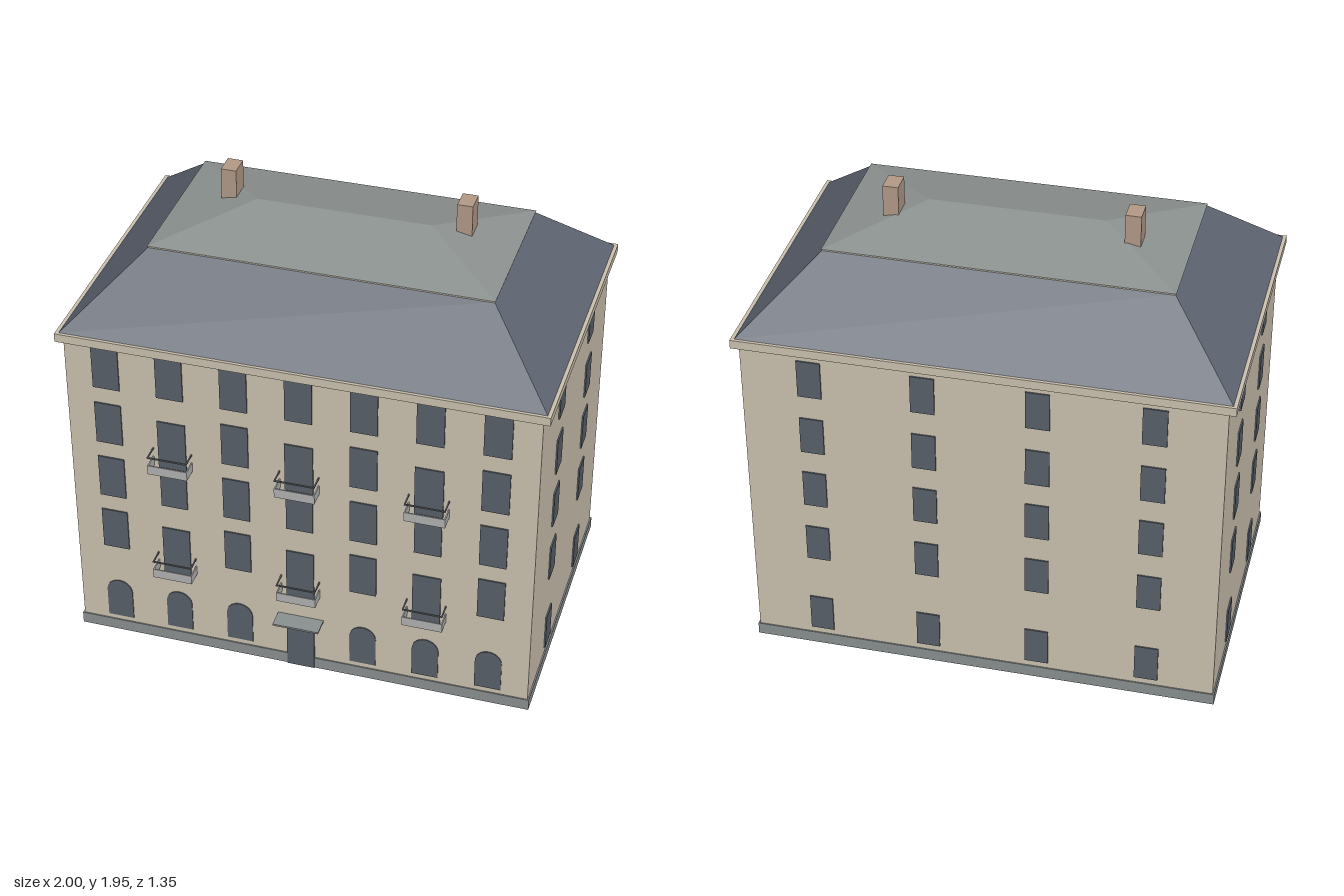
import * as THREE from 'three';

const mat = (name, color) => {
  const m = new THREE.MeshStandardMaterial({ color });
  m.name = name;
  return m;
};

export function createModel() {
  const root = new THREE.Group();
  root.name = 'townhouse';

  const plaster = mat('plaster', 0xcbc1af);
  plaster.side = THREE.DoubleSide;
  const stone = mat('plinth stone', 0x8a9090);
  const slate = mat('slate', 0x5f6672);
  const upperSlate = mat('upper roof', 0x8c9290);
  const glass = mat('glass', 0x586069);
  const brick = mat('chimney brick', 0xb39a87);
  const concrete = mat('balcony', 0xb2b2b2);
  const iron = mat('railing iron', 0x62666a);

  // The house body is set slightly back so balconies fit in the depth
  const CZ = -0.03, HX = 0.97, HZ = 0.625;
  const FRONT = CZ + HZ;

  function add(geo, material, name, x = 0, y = 0, z = 0, parent = root) {
    const mesh = new THREE.Mesh(geo, material);
    mesh.name = name;
    mesh.position.set(x, y, z);
    parent.add(mesh);
    return mesh;
  }
  const box = (w, h, d) => new THREE.BoxGeometry(w, h, d);

  // Four flat sides between two rectangles given as [halfX, y, halfZ]
  function loft(a, b) {
    const signs = [[-1, 1], [1, 1], [1, -1], [-1, -1]];
    const corner = (r, i) => {
      const [sx, sz] = signs[i % 4];
      return new THREE.Vector3(sx * r[0], r[1], sz * r[2]);
    };
    const pts = [];
    for (let i = 0; i < 4; i++) {
      const p = corner(a, i), q = corner(a, i + 1), r = corner(b, i + 1), s = corner(b, i);
      pts.push(p, q, r);
      if (r.distanceTo(s) > 1e-5) pts.push(p, r, s);
    }
    const g = new THREE.BufferGeometry().setFromPoints(pts);
    g.computeVertexNormals();
    return g;
  }

  // Open-bottomed walls and the plinth ring
  add(loft([HX, 0, HZ], [HX, 1.46, HZ]), plaster, 'walls', 0, 0, CZ);
  const rect = (Kind, x, z) => new Kind([[-x, -z], [x, -z], [x, z], [-x, z]].map(p => new THREE.Vector2(...p)));
  const ring = rect(THREE.Shape, 0.977, 0.631);
  ring.holes.push(rect(THREE.Path, HX + 0.001, HZ + 0.001));
  const plinthGeo = new THREE.ExtrudeGeometry(ring, { depth: 0.052, bevelEnabled: false });
  plinthGeo.rotateX(-Math.PI / 2);
  add(plinthGeo, stone, 'plinth', 0, 0, CZ);

  // Cornice, mansard and hipped upper roof
  add(box(2, 0.037, 1.29), plaster, 'cornice', 0, 1.4745, CZ);
  add(loft([0.985, 1.493, 0.632], [0.7, 1.77, 0.345]), slate, 'mansardRoof', 0, 0, CZ);
  add(box(1.406, 0.007, 0.696), plaster, 'roofTrim', 0, 1.7715, CZ);
  add(loft([0.705, 1.775, 0.35], [0.36, 1.85, 0]), upperSlate, 'upperRoof', 0, 0, CZ);
  for (const s of [-1, 1]) add(box(0.064, 0.14, 0.09), brick, 'chimney', s * 0.487, 1.88, -0.095);

  // Panes lie on the walls: [bottom, top] in height
  const T = 0.006;
  function pane(face, u, [lo, hi], w, name) {
    const m = add(box(w, hi - lo, T), glass, name, 0, (lo + hi) / 2);
    if (face === 'front') m.position.set(u, m.position.y, FRONT + T / 2);
    if (face === 'back') m.position.set(u, m.position.y, CZ - HZ - T / 2);
    if (face === 'left' || face === 'right') {
      m.rotation.y = Math.PI / 2;
      m.position.x = (face === 'left' ? 1 : -1) * (HX + T / 2);
      m.position.z = CZ + u;
    }
  }

  // Arched ground-floor windows pass through the front wall
  const arch = new THREE.Shape();
  arch.moveTo(-0.056, 0);
  arch.lineTo(0.056, 0);
  arch.lineTo(0.056, 0.136);
  arch.absarc(0, 0.136, 0.056, 0, Math.PI, false);
  arch.closePath();
  const archGeo = new THREE.ExtrudeGeometry(arch, { depth: 0.009, bevelEnabled: false, curveSegments: 8 });

  // Front facade: seven bays, alternate bays carry balconies
  const rows = [[0.45, 0.642], [0.717, 0.914], [0.988, 1.182], [1.257, 1.451]];
  for (let i = -3; i <= 3; i++) {
    const x = i * 0.2667;
    const balconyBay = i % 2 === 0;
    rows.forEach((r, k) => {
      if (balconyBay && k === 0) pane('front', x, [0.37, 0.602], 0.118, 'balconyDoor');
      else if (balconyBay && k === 2) pane('front', x, [0.915, 1.14], 0.118, 'balconyDoor');
      else pane('front', x, r, 0.112, 'frontWindow');
    });
    if (i !== 0) add(archGeo, glass, 'archedWindow', x, 0.075, FRONT - 0.0045);
    if (balconyBay) for (const y of [0.383, 0.919]) addBalcony(x, y);
  }

  // Three-sided strip standing out from the front wall
  function addBand(parent, material, name, y, h, t) {
    const w = 0.168, d = 0.07;
    add(box(w, h, t), material, name + 'Front', 0, y, d - t / 2, parent);
    for (const s of [-1, 1]) add(box(t, h, d - t), material, name + 'Side', s * (w - t) / 2, y, (d - t) / 2, parent);
  }
  function addBalcony(x, y) {
    const g = new THREE.Group();
    g.name = 'balcony';
    g.position.set(x, y, FRONT);
    addBand(g, concrete, 'parapet', 0.021, 0.042, 0.005);
    addBand(g, iron, 'rail', 0.08, 0.006, 0.005);
    root.add(g);
  }

  // Entrance
  add(box(0.118, 0.225, 0.01), glass, 'entranceDoor', 0, 0.1125, FRONT + 0.005);
  add(box(0.196, 0.008, 0.08), stone, 'entranceCanopy', 0, 0.258, FRONT + 0.04);

  // Side and back windows
  const plainRows = [[0.08, 0.245], [0.45, 0.615], [0.725, 0.89], [0.99, 1.155], [1.26, 1.427]];
  for (const r of plainRows) {
    for (const u of [-0.276, 0.276]) {
      pane('left', u, r, 0.098, 'leftWindow');
      pane('right', u, r, 0.098, 'rightWindow');
    }
    for (const u of [-0.69, -0.23, 0.23, 0.69]) pane('back', u, r, 0.098, 'backWindow');
  }

  return root;
}
